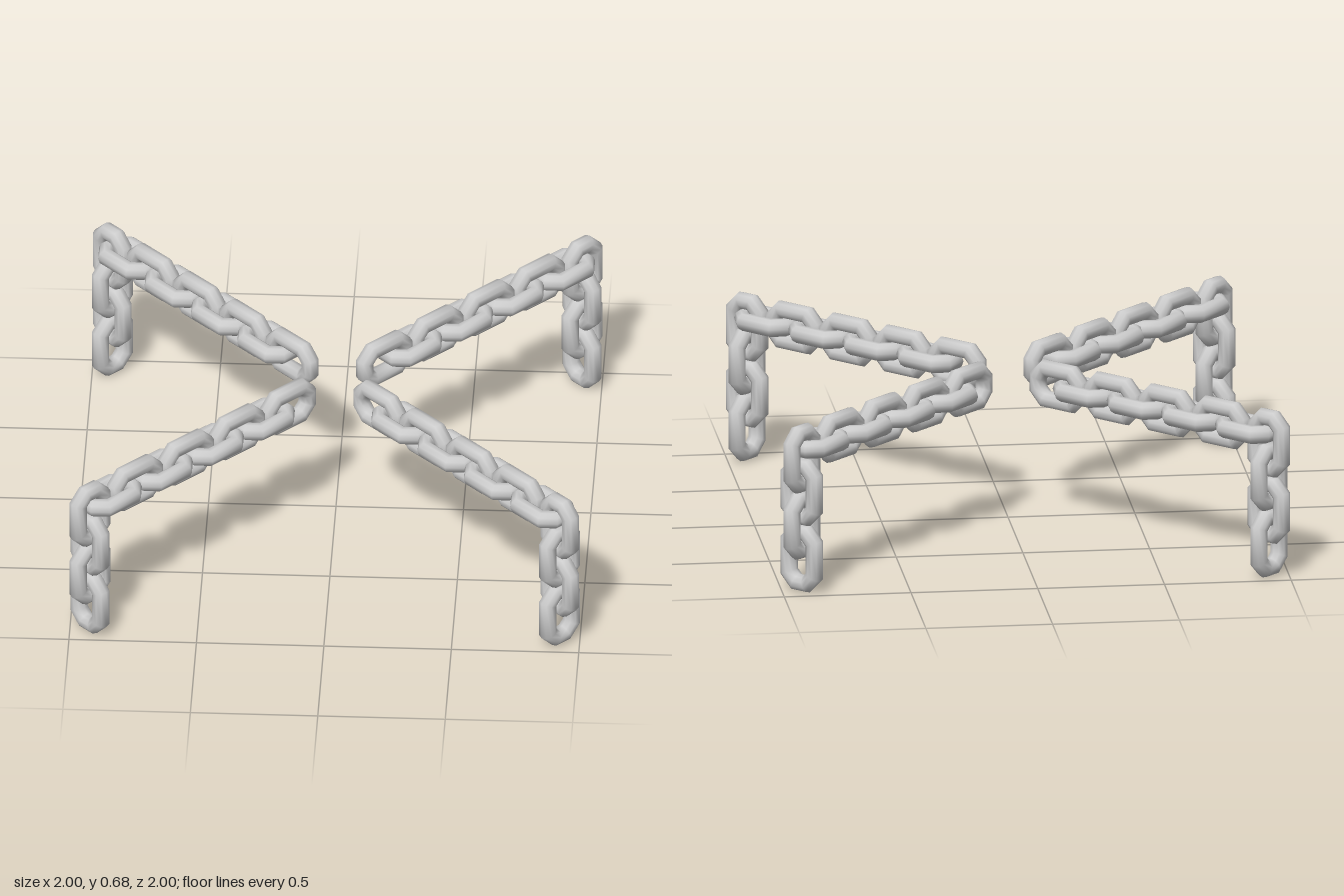
import * as THREE from 'three';

const TUBE = 0.036, RING = 0.068, STRETCH = 0.04, PITCH = 0.135;

// Octagonal ring pulled apart along x into a chain link lying in the xy plane
function linkGeometry() {
  const g = new THREE.TorusGeometry(RING, TUBE, 10, 8);
  g.rotateZ(Math.PI / 8);
  const p = g.attributes.position;
  for (let i = 0; i < p.count; i++) p.setX(i, p.getX(i) + Math.sign(p.getX(i)) * STRETCH);
  return g;
}

export function createModel() {
  const model = new THREE.Group();
  model.name = 'chains';
  const material = new THREE.MeshStandardMaterial({ color: 0xcccccc });
  const upright = linkGeometry();
  const flat = upright.clone().rotateX(Math.PI / 2);
  const hanging = upright.clone().rotateZ(Math.PI / 2);
  const hangingTurned = hanging.clone().rotateY(Math.PI / 2);

  // One chain runs outward along its local x, then drops at the corner
  function createChain() {
    const chain = new THREE.Group();
    const add = (name, geometry, x, y) => {
      const link = new THREE.Mesh(geometry, material);
      link.name = name;
      link.position.set(x, y, 0);
      chain.add(link);
    };
    for (let i = 0; i < 8; i++) {
      add('horizontalLink' + (i + 1), i % 2 ? flat : upright, 0.255 + i * PITCH, 0.58);
    }
    for (let i = 0; i < 4; i++) {
      add('hangingLink' + (i + 1), i % 2 ? hangingTurned : hanging, 1.303, PITCH * (4 - i));
    }
    return chain;
  }

  // Four chains along the diagonals
  ['backLeft', 'backRight', 'frontRight', 'frontLeft'].forEach((corner, i) => {
    const chain = createChain();
    chain.name = corner + 'Chain';
    chain.rotation.y = Math.PI / 4 + i * Math.PI / 2;
    model.add(chain);
  });
  return model;
}
